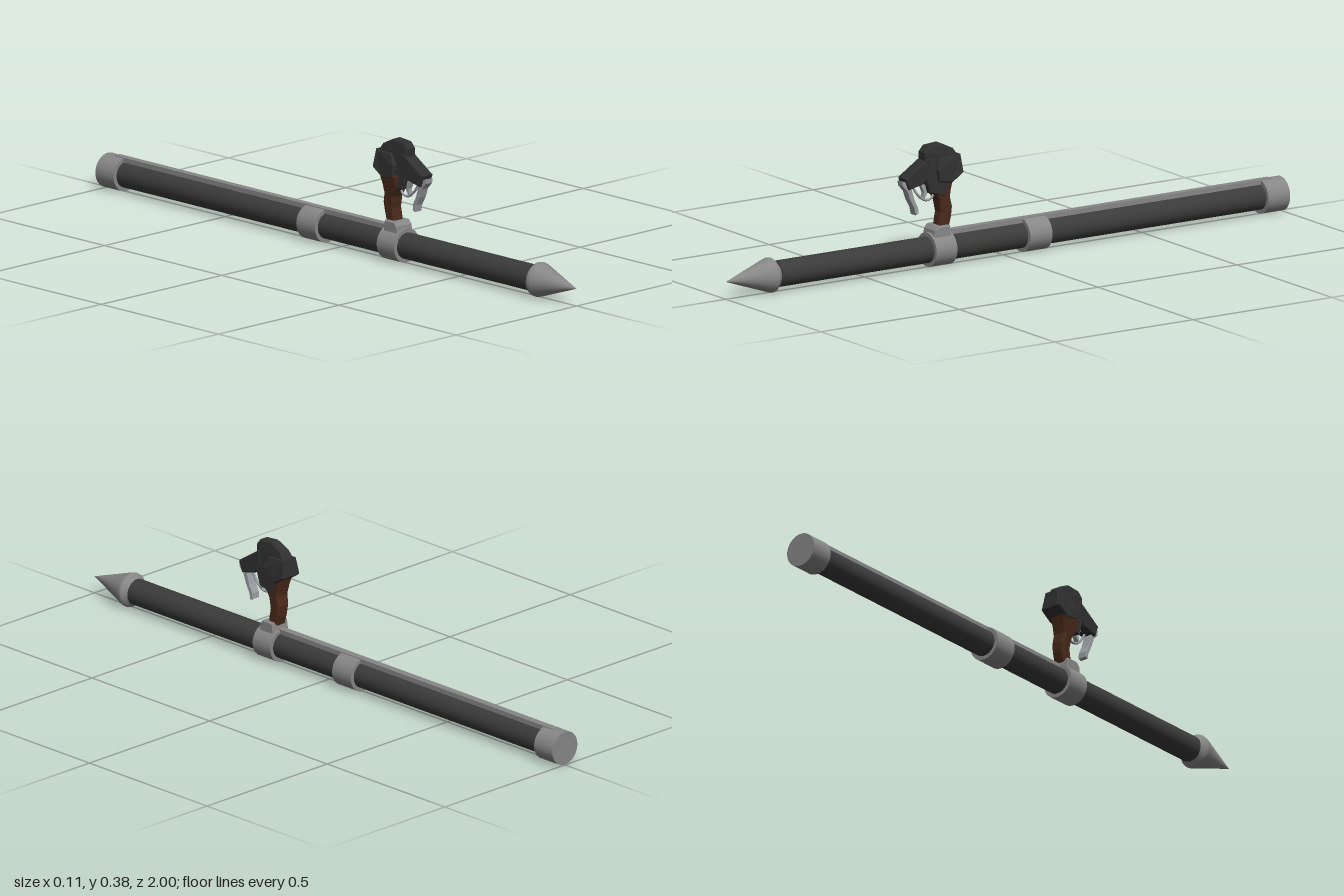
import * as THREE from 'three';

const mat = (name, color) => {
  const m = new THREE.MeshStandardMaterial({ color });
  m.name = name;
  return m;
};

export function createModel() {
  const root = new THREE.Group();
  const darkMetal = mat('dark tube metal', 0x3b3b3b);
  const black = mat('black polymer', 0x303030);
  const steel = mat('grey steel', 0x878787);
  const brightSteel = mat('bright steel', 0x9a9da0);
  const wood = mat('brown grip', 0x4a2a1b);
  const AXIS = 0.054;

  const add = (name, geo, material, parent = root) => {
    const mesh = new THREE.Mesh(geo, material);
    mesh.name = name;
    parent.add(mesh);
    return mesh;
  };

  // Cylinder lying along z between two depths
  const rod = (name, r, z0, z1, material) => {
    const geo = new THREE.CylinderGeometry(r, r, z1 - z0, 32).rotateX(Math.PI / 2);
    add(name, geo, material).position.set(0, AXIS, (z0 + z1) / 2);
  };

  // Side profile of [z, y] points, extruded across x; rule reshapes x by height and depth
  const slab = (name, points, width, bevel, material, parent, rule) => {
    const shape = new THREE.Shape(points.map(([z, y]) => new THREE.Vector2(z, y)));
    let geo = new THREE.ExtrudeGeometry(shape, {
      depth: width - 2 * bevel, steps: 1, bevelEnabled: bevel > 0,
      bevelThickness: bevel, bevelSize: bevel, bevelOffset: -bevel, bevelSegments: 1,
    });
    geo.translate(0, 0, -(width - 2 * bevel) / 2).rotateY(-Math.PI / 2);
    if (rule) {
      const p = geo.attributes.position;
      for (let i = 0; i < p.count; i++) p.setX(i, rule(p.getX(i), p.getY(i), p.getZ(i)));
      geo.computeVertexNormals();
    }
    return add(name, geo, material, parent);
  };

  // Main tube, collars and end cap
  rod('mainTube', 0.04, -0.99, 0.82, darkMetal);
  rod('frontCollar', 0.052, 0.2, 0.275, steel);
  rod('middleCollar', 0.052, -0.143, -0.063, steel);
  rod('rearCap', 0.052, -1, -0.922, steel);

  // Top rail
  add('topRail', new THREE.BoxGeometry(0.023, 0.02, 1.18), steel).position.set(0, 0.097, -0.37);

  // Pointed nose with a rounded shoulder and a short neck
  const nose = [[0, 0.81], [0.035, 0.81], [0.035, 0.822], [0.046, 0.83], [0.052, 0.837],
    [0.053, 0.843], [0.051, 0.852], [0, 1]].map(([r, z]) => new THREE.Vector2(r, z));
  add('noseCone', new THREE.LatheGeometry(nose, 32).rotateX(Math.PI / 2), steel).position.y = AXIS;

  // Clamp holding the grip
  slab('gripClamp', [[0.205, 0.08], [0.27, 0.08], [0.265, 0.115], [0.254, 0.127], [0.212, 0.127]],
    0.064, 0.003, steel, root);

  const handle = new THREE.Group();
  handle.name = 'controlHandle';
  root.add(handle);

  // Curved grip, flaring to the right near the top
  slab('grip', [[0.207, 0.118], [0.243, 0.118], [0.24, 0.14], [0.235, 0.165], [0.24, 0.2], [0.26, 0.235],
    [0.265, 0.27], [0.19, 0.27], [0.199, 0.235], [0.203, 0.21], [0.195, 0.18], [0.198, 0.15]],
  0.04, 0.005, wood, handle,
  (x, y) => (x < 0 ? x * (1 + Math.max(0, y - 0.16) * 7) : x * (1 + Math.max(0, y - 0.16))));

  // Handle head, narrowing toward the top
  slab('head', [[0.222, 0.212], [0.278, 0.23], [0.291, 0.273], [0.294, 0.355], [0.28, 0.373],
    [0.233, 0.377], [0.192, 0.357], [0.172, 0.33], [0.178, 0.275], [0.205, 0.255]],
  0.046, 0.004, black, handle, (x, y) => x * (1 - Math.max(0, y - 0.325) * 6));

  // Wide rear housing
  slab('rearHousing', [[0.206, 0.255], [0.25, 0.262], [0.255, 0.3], [0.235, 0.335], [0.168, 0.337],
    [0.163, 0.283], [0.178, 0.272]],
  0.07, 0.004, black, handle, (x, y) => x * (1 - Math.max(0, y - 0.312) * 13) - 0.001);

  // Tilted front block
  slab('frontBlock', [[0.365, 0.285], [0.28, 0.34], [0.265, 0.29], [0.3, 0.262], [0.352, 0.25]],
    0.045, 0.003, black, handle);

  // Front lever, curling forward at its tip
  slab('frontLever', [[0.372, 0.277], [0.345, 0.268], [0.337, 0.245], [0.328, 0.215], [0.315, 0.19],
    [0.314, 0.172], [0.324, 0.168], [0.329, 0.19], [0.343, 0.215], [0.353, 0.243], [0.37, 0.262]],
  0.028, 0.001, brightSteel, handle);

  // Small trigger and its guard
  slab('trigger', [[0.3, 0.255], [0.285, 0.255], [0.278, 0.228], [0.288, 0.212], [0.293, 0.215], [0.29, 0.232]],
    0.014, 0, brightSteel, handle);
  const guard = new THREE.CatmullRomCurve3([[0.325, 0.25], [0.308, 0.226], [0.285, 0.208], [0.262, 0.208], [0.25, 0.222]]
    .map(([z, y]) => new THREE.Vector3(0, y, z)));
  add('triggerGuard', new THREE.TubeGeometry(guard, 16, 0.004, 8), brightSteel, handle);

  return root;
}
